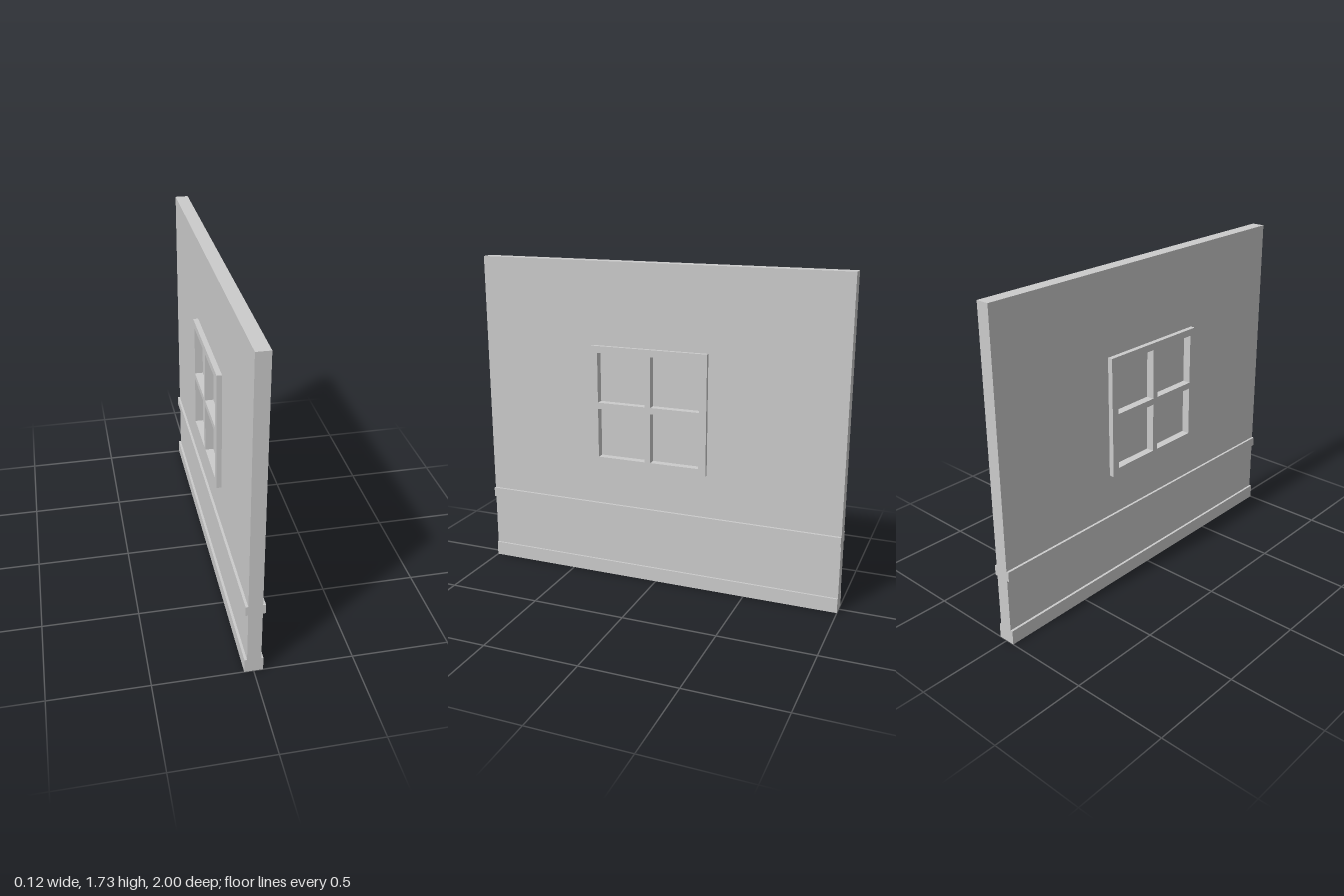
import * as THREE from 'three';

const material = new THREE.MeshStandardMaterial({ color: 0xcccccc, flatShading: true });

// Rectangle points in the wall plane (z, y)
const rect = (z0, z1, y0, y1) => [
  new THREE.Vector2(z0, y0), new THREE.Vector2(z1, y0),
  new THREE.Vector2(z1, y1), new THREE.Vector2(z0, y1),
];

// Slab spanning x0..x1 with rectangular openings
function slab(name, x0, x1, outline, openings = []) {
  const shape = new THREE.Shape(rect(...outline));
  for (const o of openings) shape.holes.push(new THREE.Path(rect(...o).reverse()));
  const geometry = new THREE.ExtrudeGeometry(shape, { depth: x1 - x0, bevelEnabled: false });
  geometry.rotateY(-Math.PI / 2).translate(x1, 0, 0);
  const mesh = new THREE.Mesh(geometry, material);
  mesh.name = name;
  return mesh;
}

export function createModel() {
  const group = new THREE.Group();
  group.name = 'wallWithWindow';

  const windowOutline = [-0.283, 0.363, 0.647, 1.293];
  const paneOpenings = [];
  for (const [z0, z1] of [[-0.243, 0.026], [0.058, 0.326]])
    for (const [y0, y1] of [[0.685, 0.953], [0.987, 1.256]])
      paneOpenings.push([z0, z1, y0, y1]);

  group.add(
    // Wall panel with the window opening
    slab('wall', -0.034, 0.036, [-1, 1, 0, 1.732], [windowOutline]),
    // Frame with crossing bars, proud of both wall faces
    slab('windowFrame', -0.061, 0.057, windowOutline, paneOpenings),
    // Recessed glass
    slab('windowGlass', -0.018, 0.016, [-0.26, 0.34, 0.67, 1.27]),
    // Trims along the full length
    slab('chairRail', -0.047, 0.05, [-1, 1, 0.363, 0.415]),
    slab('baseboard', -0.047, 0.047, [-1, 1, 0, 0.077]),
  );
  return group;
}
